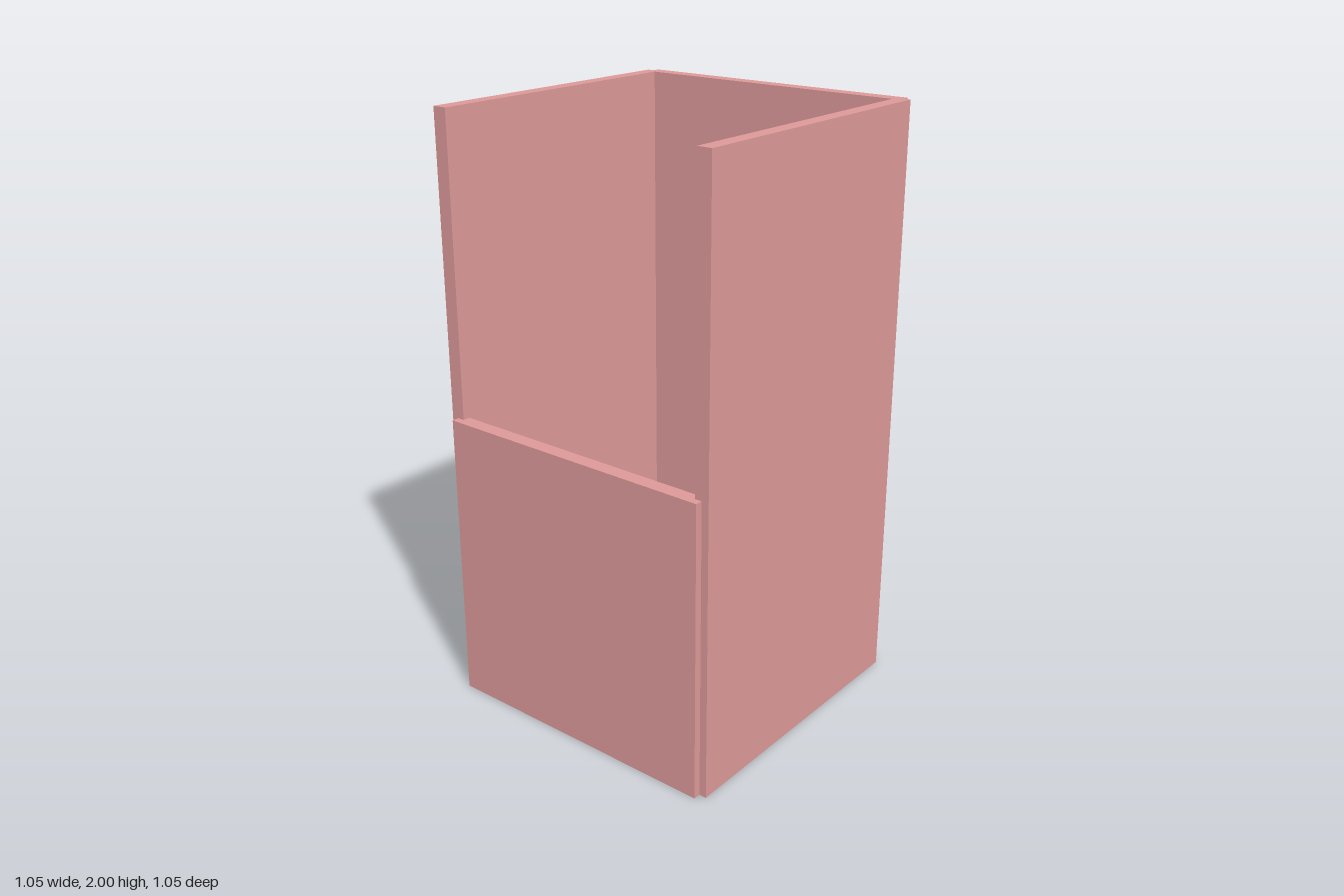
import * as THREE from 'three';

const THICKNESS = 0.05;
const material = new THREE.MeshStandardMaterial({ color: 0xdd9999 });

// Upright panel, one unit wide, standing on the ground
function panel(name, height, x, z) {
  const size = x !== 0 ? [THICKNESS, height, 1] : [1, height, THICKNESS];
  const mesh = new THREE.Mesh(new THREE.BoxGeometry(...size), material);
  mesh.name = name;
  mesh.position.set(x, height / 2, z);
  return mesh;
}

export function createModel() {
  const group = new THREE.Group();
  group.name = 'openBox';
  group.add(
    panel('frontWall', 2, 0, 0.5),
    panel('backWall', 2, 0, -0.5),
    panel('leftWall', 2, 0.5, 0),
    // Half-height wall leaves the upper side open
    panel('lowRightWall', 1, -0.5, 0),
  );
  return group;
}
